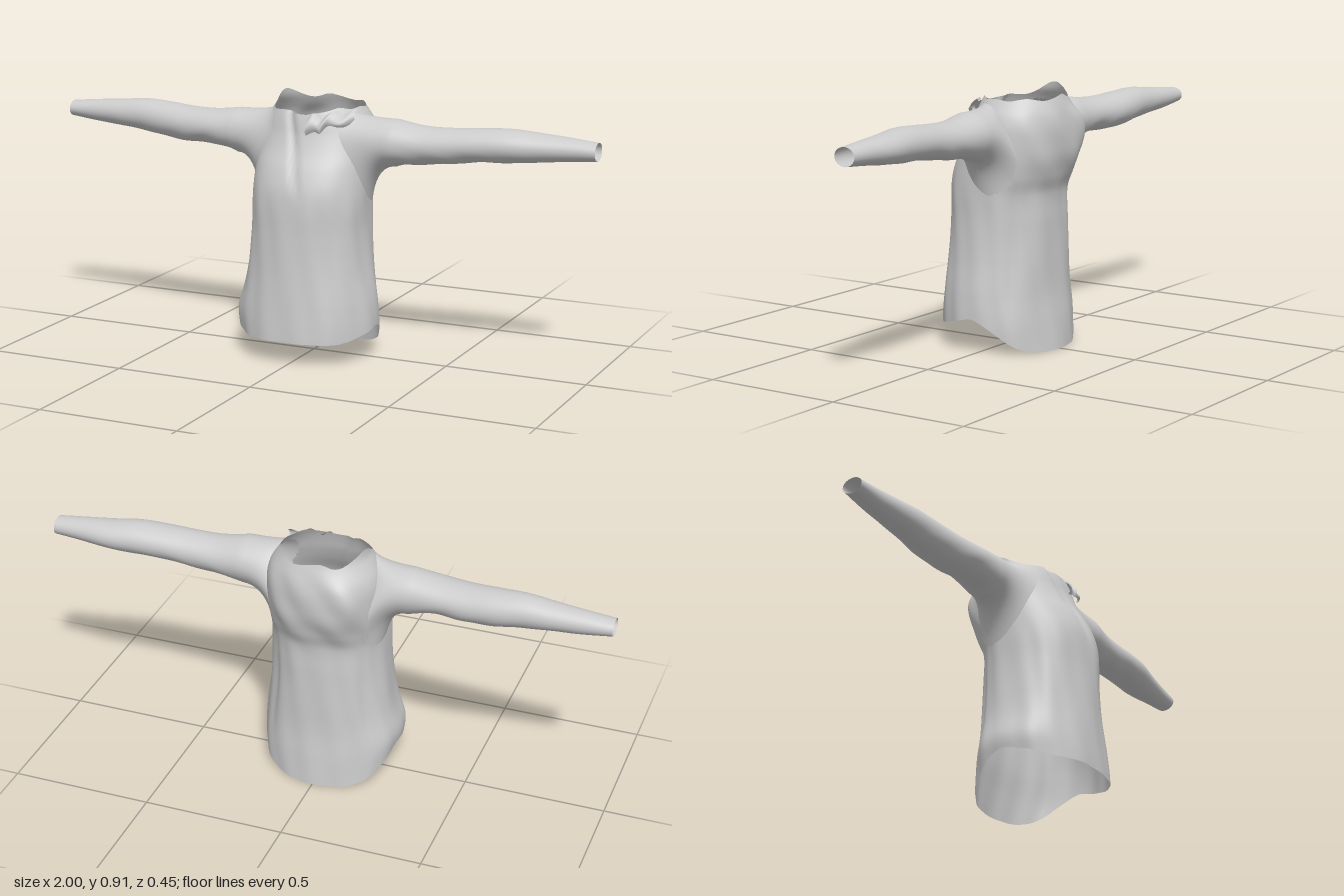
import * as THREE from 'three';

const material = new THREE.MeshStandardMaterial({ color: 0xcccccc, side: THREE.DoubleSide });
const { smoothstep, clamp, lerp } = THREE.MathUtils;
const bump = (v, centre, width) => Math.exp(-(((v - centre) / width) ** 2));

// Smoothly interpolate rows of [key, a, b, ...] at k
function sample(rows, k) {
  let i = 0;
  while (i < rows.length - 2 && k > rows[i + 1][0]) i++;
  const p = rows[i], q = rows[i + 1], p0 = rows[Math.max(0, i - 1)], q1 = rows[Math.min(rows.length - 1, i + 2)];
  const h = q[0] - p[0], t = clamp((k - p[0]) / h, 0, 1);
  return p.slice(1).map((v, n) => {
    const j = n + 1;
    const m0 = (q[j] - p0[j]) / (q[0] - p0[0]) * h, m1 = (q1[j] - p[j]) / (q1[0] - p[0]) * h;
    return v + t * m0 + t * t * (3 * (q[j] - v) - 2 * m0 - m1) + t ** 3 * (2 * (v - q[j]) + m0 + m1);
  });
}

// Grid surface from point(row, column); closed joins the columns into rings
function loft(name, rows, cols, point, closed, skip = () => false) {
  const pos = [], idx = [];
  for (let r = 0; r <= rows; r++)
    for (let c = 0; c < cols; c++) pos.push(...point(r, c));
  for (let r = 0; r < rows; r++)
    for (let c = 0; c < (closed ? cols : cols - 1); c++) {
      const a = r * cols + c, b = r * cols + (c + 1) % cols;
      const mid = [0, 1, 2].map(k => (pos[a * 3 + k] + pos[(b + cols) * 3 + k]) / 2);
      if (!skip(mid)) idx.push(a, a + cols, b, b, a + cols, b + cols);
    }
  const g = new THREE.BufferGeometry();
  g.setAttribute('position', new THREE.Float32BufferAttribute(pos, 3));
  g.setIndex(idx);
  g.computeVertexNormals();
  const mesh = new THREE.Mesh(g, material);
  mesh.name = name;
  return mesh;
}

// Torso: height, half width, front z, back z
const BODY = [
  [0, 0.235, 0.232, -0.197], [0.1, 0.242, 0.228, -0.188], [0.2, 0.236, 0.22, -0.178],
  [0.32, 0.218, 0.21, -0.176], [0.45, 0.206, 0.202, -0.174], [0.55, 0.204, 0.197, -0.174],
  [0.61, 0.204, 0.188, -0.195], [0.67, 0.204, 0.165, -0.212], [0.73, 0.204, 0.13, -0.216],
  [0.78, 0.201, 0.108, -0.216], [0.82, 0.19, 0.097, -0.21], [0.85, 0.172, 0.088, -0.2],
  [0.88, 0.153, 0.075, -0.188], [0.92, 0.147, 0.07, -0.18],
];
const power = (v, e) => Math.sign(v) * Math.abs(v) ** e;
// Roundness of a section: the right side hangs boxier than the left
const roundness = (y, side) =>
  lerp(side < 0 ? 0.86 : 0.94, 0.84, smoothstep(y, 0.35, 0.6)) + 0.13 * smoothstep(y, 0.68, 0.87);

// x of the torso side at a given height and depth
function sideX(y, z, side) {
  const [w, f, b] = sample(BODY, y), e = roundness(y, side);
  const s = Math.min(0.97, Math.abs((z - (f + b) / 2) / ((f - b) / 2)) ** (1 / e));
  return w * Math.sqrt(1 - s * s) ** e;
}

// Armhole: ellipse leaning backwards at the bottom
const HOLE = { y: 0.7, z: -0.03, ry: 0.155, rz: 0.105, lean: 0.2 };
const inHole = ([x, y, z]) => Math.abs(x) > 0.08 && ((y - HOLE.y) / HOLE.ry) ** 2
  + ((z - HOLE.z - HOLE.lean * (y - HOLE.y)) / HOLE.rz) ** 2 < 0.85;

function torsoPoint(r, c) {
  const a = c / 128 * Math.PI * 2, s = Math.sin(a), co = Math.cos(a), t = r / 90;
  // Curved shirt tail and uneven neckline
  const hem = s > 0 ? 0.122 - 0.04 * Math.min(1, s * 1.4) : 0.122 - 0.12 * smoothstep(-s, 0, 0.98);
  const neck = 0.872 + 0.04 * bump(a, 3.35, 0.4) + 0.018 * bump(a, 0.75, 0.25)
    + 0.01 * bump(a, 4.5, 0.2) - 0.016 * Math.max(0, s) + 0.004 * Math.sin(7 * a);
  const y = hem + (neck - hem) * t;
  const [w, f, b] = sample(BODY, y), e = roundness(y, co);
  // Hanging folds below, lumps across the upper back
  const low = 1 - smoothstep(y, 0.5, 0.66);
  let k = 1 + 0.009 * low * Math.sin(7 * a + 9 * y) + 0.006 * low * Math.sin(15 * a - 11 * y);
  if (s < 0) {
    const upper = (1 - low) * (1 - smoothstep(y, 0.8, 0.87));
    k += upper * (0.13 * bump(a, 4.2, 0.3) * bump(y, 0.76, 0.1) + 0.02 * s * s * Math.sin(9 * a - 30 * y));
    k -= 0.02 * low * bump(Math.abs(co), 0.75, 0.07) * smoothstep(y, 0.05, 0.25);
  }
  let x = w * power(co, e) * k;
  if (x < 0) x -= 0.014 * bump(y, 0.16, 0.06) * co * co;
  let z = (f + b) / 2 + (f - b) / 2 * power(s, e) * k;
  // Short crease below the neck opening
  if (s > 0) z -= 0.012 * bump(x, 0.02 - (y - 0.6) * 0.28, 0.014) * smoothstep(y, 0.55, 0.68);
  return [x, y, z];
}

// Sleeves: distance from centre, top y, bottom y, front z, back z
const SLEEVES = {
  leftSleeve: [1, [
    [0.25, 0.852, 0.65, 0.08, -0.122], [0.3, 0.842, 0.68, 0.07, -0.112],
    [0.4, 0.826, 0.695, 0.055, -0.103], [0.5, 0.826, 0.705, 0.047, -0.1], [0.6, 0.832, 0.718, 0.04, -0.105],
    [0.7, 0.836, 0.722, 0.03, -0.112], [0.8, 0.828, 0.73, 0.01, -0.116], [0.9, 0.82, 0.74, -0.008, -0.106],
    [1, 0.81, 0.748, -0.02, -0.098]]],
  rightSleeve: [-1, [
    [0.25, 0.848, 0.645, 0.068, -0.125], [0.3, 0.838, 0.68, 0.052, -0.115],
    [0.4, 0.826, 0.702, 0.045, -0.115], [0.5, 0.825, 0.7, 0.03, -0.122], [0.6, 0.832, 0.708, 0.014, -0.128],
    [0.7, 0.836, 0.722, 0, -0.123], [0.8, 0.826, 0.732, -0.01, -0.118], [0.9, 0.818, 0.74, -0.022, -0.112],
    [1, 0.808, 0.752, -0.028, -0.104]]],
};

function sleeve(name, side, rows) {
  const flare = 10;
  return loft(name, 70, 44, (r, c) => {
    const a = c / 44 * Math.PI * 2, co = Math.cos(a), s = Math.sin(a);
    // Armhole edge lying on the torso
    const rootY = HOLE.y + HOLE.ry * s;
    const rootZ = HOLE.z + HOLE.rz * co + HOLE.lean * HOLE.ry * s;
    const rootX = sideX(rootY, rootZ, side);
    // Sleeve section with slack folds underneath
    const x = 0.3 + 0.7 * Math.max(0, r - flare) / (70 - flare);
    const [top, bottom, front, back] = sample(rows, x);
    const fold = 1 + 0.04 * (1 - x) * Math.sin(x * 45 + 3 * a) * Math.max(0, -s);
    const y = (top + bottom) / 2 + (top - bottom) / 2 * s * fold;
    const z = (front + back) / 2 + (front - back) / 2 * co * fold;
    // Leave the torso along its surface, then turn outwards
    const t = Math.min(1, r / flare), turn = 1 - (1 - t) ** 2;
    return [side * lerp(rootX, x, 0.6 * t + 0.4 * t * t), lerp(rootY, y, turn), lerp(rootZ, z, turn)];
  }, true);
}

export function createModel() {
  const group = new THREE.Group();
  group.name = 'shirt';
  group.add(loft('torso', 90, 128, torsoPoint, true, inHole));
  for (const [name, [side, rows]] of Object.entries(SLEEVES)) group.add(sleeve(name, side, rows));

  // Crumpled collar flap folded open on the left of the neck
  group.add(loft('collarFlap', 8, 24, (r, c) => {
    const u = c / 23, t = r / 8;
    const x = 0.02 + 0.15 * u + 0.01 * t * Math.sin(u * 9);
    const y = 0.85 + 0.02 * u - t * (0.065 - 0.03 * u) + 0.007 * Math.sin(u * 14);
    const z = 0.08 - 0.06 * u * u + 0.035 * Math.sin(t * 2.2) + 0.006 * Math.sin(u * 16 + t * 3);
    return [x, y, z];
  }, false));

  return group;
}
